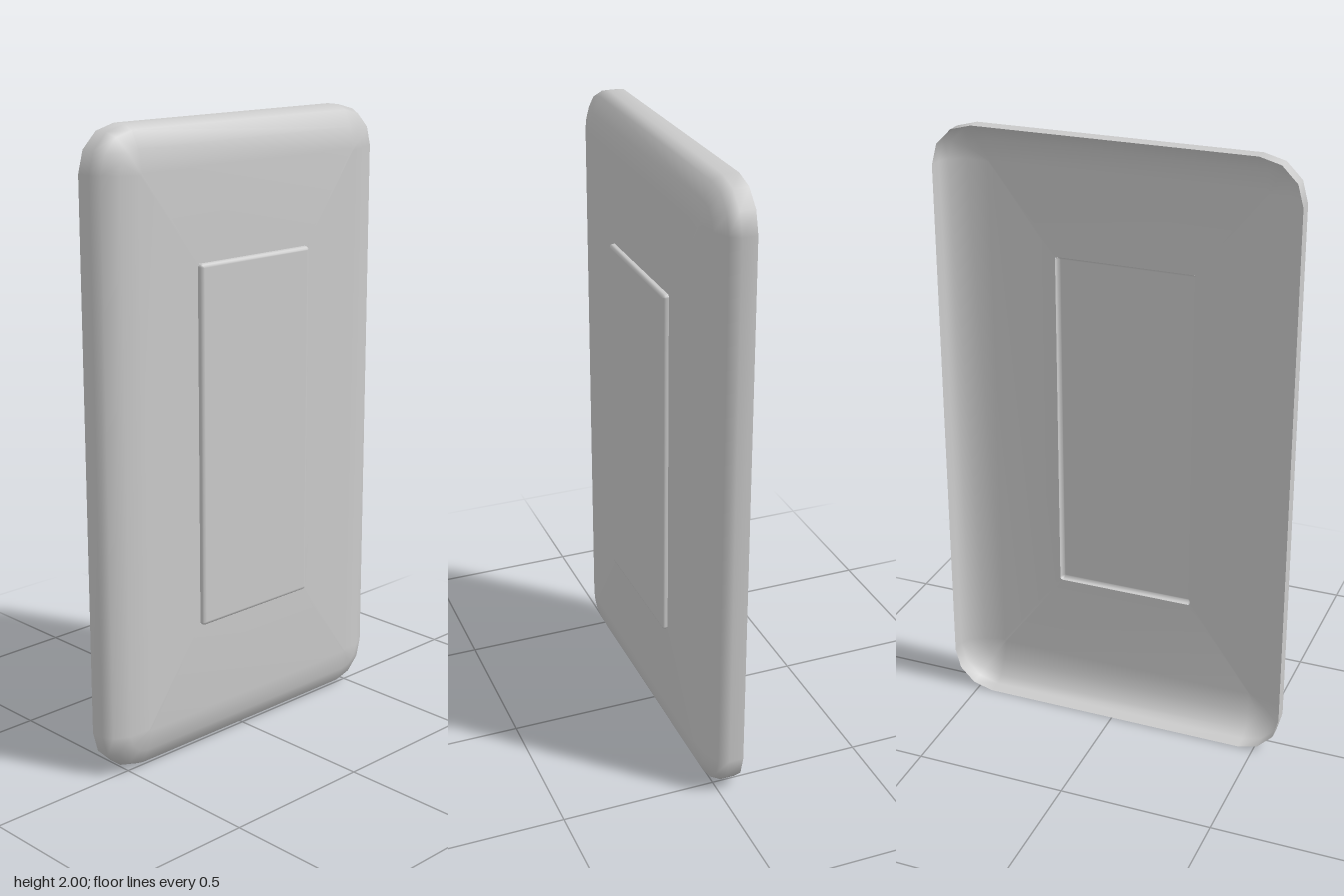
import * as THREE from 'three';

const CORNER_STEPS = 3;

// Counter-clockwise rounded rectangle in the plane z, centred on (0, cy)
function ring(halfW, halfH, radius, z, cy) {
  const points = [];
  for (let corner = 0; corner < 4; corner++) {
    const sx = corner === 0 || corner === 3 ? 1 : -1;
    const sy = corner < 2 ? 1 : -1;
    for (let i = 0; i <= CORNER_STEPS; i++) {
      const a = (corner + i / CORNER_STEPS) * Math.PI / 2;
      points.push([
        sx * (halfW - radius) + radius * Math.cos(a),
        cy + sy * (halfH - radius) + radius * Math.sin(a),
        z,
      ]);
    }
  }
  return points;
}

// Skin a list of rings from back to front, optionally closing the last one
function skin(rings, capped) {
  const n = rings[0].length;
  const positions = rings.flat(2);
  const index = [];
  for (let r = 0; r < rings.length - 1; r++) {
    for (let j = 0; j < n; j++) {
      const a = r * n + j, b = r * n + (j + 1) % n;
      index.push(a, b, a + n, b, b + n, a + n);
    }
  }
  if (capped) {
    const last = (rings.length - 1) * n;
    for (let j = 1; j < n - 1; j++) index.push(last, last + j, last + j + 1);
  }
  const geometry = new THREE.BufferGeometry();
  geometry.setAttribute('position', new THREE.Float32BufferAttribute(positions, 3));
  geometry.setIndex(index);
  geometry.computeVertexNormals();
  return geometry;
}

export function createModel() {
  const group = new THREE.Group();
  group.name = 'wallSwitch';
  const material = new THREE.MeshStandardMaterial({ color: 0xcccccc, side: THREE.DoubleSide });

  // Hollow cover plate: [inset, z] from the open back rim to the front face
  const plateProfile = [[0, -0.067], [0, -0.02], [0.016, 0.012], [0.066, 0.037], [0.135, 0.047]];
  const plateRings = plateProfile.map(([inset, z]) =>
    ring(0.583 - inset, 1 - inset, Math.max(0.135 - inset, 0.006), z, 1));
  plateRings.push(ring(0.232, 0.575, 0.008, 0.049, 1.004)); // opening for the rocker
  const plate = new THREE.Mesh(skin(plateRings, false), material);
  plate.name = 'coverPlate';
  group.add(plate);

  // Raised rocker with softened edges, hollow behind
  const rockerProfile = [[0, 0.049], [0, 0.058], [0.003, 0.063], [0.009, 0.066], [0.012, 0.066]];
  const rockerRings = rockerProfile.map(([inset, z]) =>
    ring(0.232 - inset, 0.575 - inset, Math.max(0.01 - inset, 0.002), z, 1.004));
  const rocker = new THREE.Mesh(skin(rockerRings, true), material);
  rocker.name = 'rocker';
  group.add(rocker);

  return group;
}
